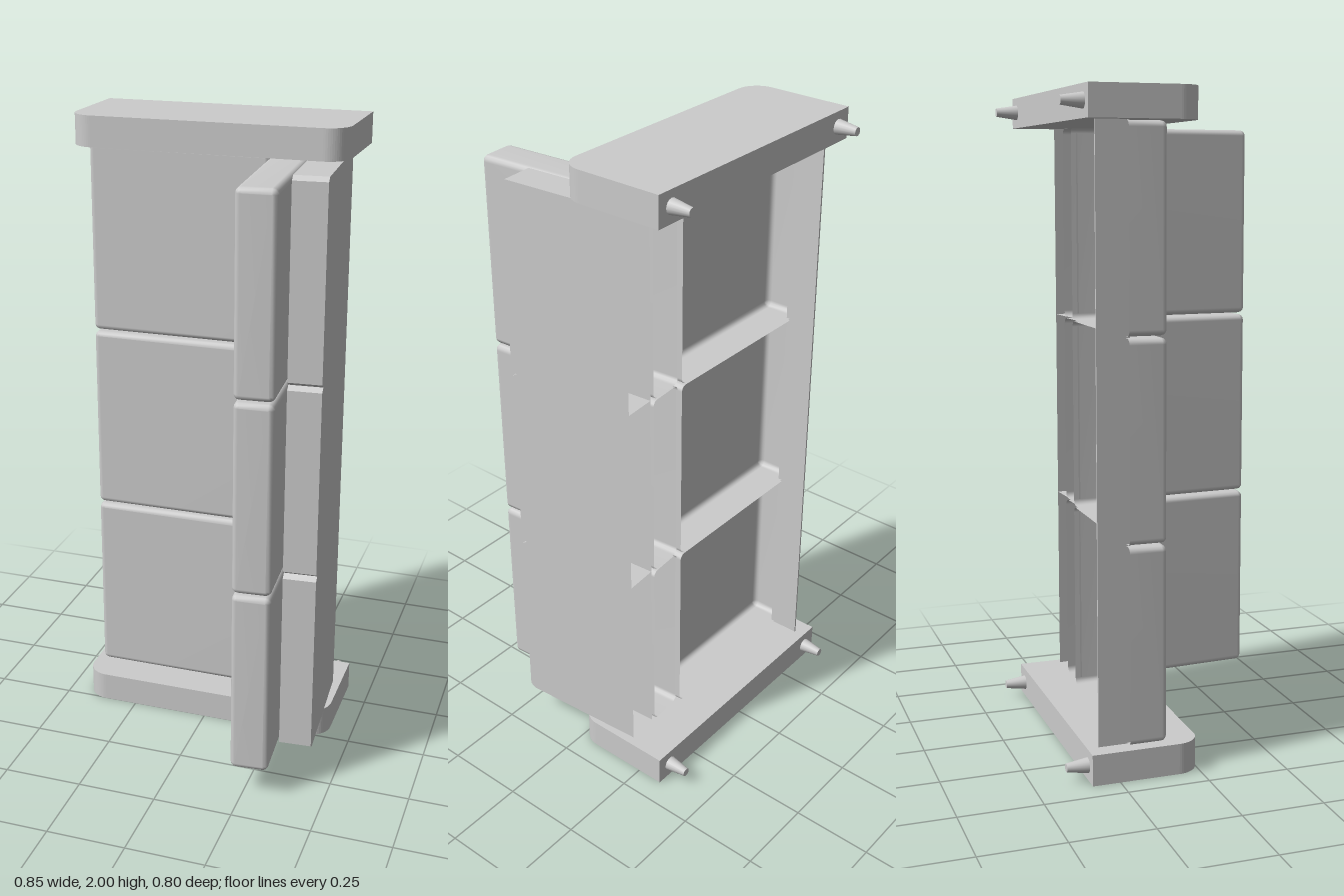
import * as THREE from 'three';

const TILT = 0.07;          // lean of the backrest
const PITCH = 0.604;        // spacing of the three seats along y

// Hollow shell, open at the bottom, built along +z from rounded-rectangle rings.
// Each ring is [height, inset x, inset y, corner radius].
function shellGeometry(width, length, rings, cornerSteps, flat) {
  const pos = [], index = [];
  const n = 4 * (cornerSteps + 1);
  for (const [h, ix, iy, r] of rings) {
    const a = width / 2 - ix - r, b = length / 2 - iy - r;
    for (let q = 0; q < 4; q++) {
      const sx = q === 0 || q === 3 ? 1 : -1, sy = q < 2 ? 1 : -1;
      for (let s = 0; s <= cornerSteps; s++) {
        const t = (q + (cornerSteps ? s / cornerSteps : 0.5)) * Math.PI / 2;
        pos.push(sx * a + r * Math.cos(t), sy * b + r * Math.sin(t), h);
      }
    }
  }
  for (let k = 0; k < rings.length - 1; k++) {
    for (let i = 0; i < n; i++) {
      const j = (i + 1) % n, lo = k * n, hi = lo + n;
      index.push(lo + i, lo + j, hi + j, lo + i, hi + j, hi + i);
    }
  }
  // closed top
  const top = (rings.length - 1) * n;
  for (let i = 1; i < n - 1; i++) index.push(top, top + i, top + i + 1);
  let g = new THREE.BufferGeometry();
  g.setAttribute('position', new THREE.Float32BufferAttribute(pos, 3));
  g.setIndex(index);
  if (flat) g = g.toNonIndexed();
  g.computeVertexNormals();
  return g;
}

// Soft cushion: straight walls with a rounded rim
function cushionGeometry(width, length, height) {
  const r = 0.016, rings = [[0, 0, 0, 0.018]];
  for (let s = 0; s <= 3; s++) {
    const t = s / 3 * Math.PI / 2, inset = r * (1 - Math.cos(t));
    rings.push([height - r + r * Math.sin(t), inset, inset, 0.018 - inset]);
  }
  return shellGeometry(width, length, rings, 3, false);
}

export function createModel() {
  const model = new THREE.Group();
  model.name = 'sofaOnItsSide';
  const grey = new THREE.MeshStandardMaterial({ color: 0xcccccc, side: THREE.DoubleSide });
  grey.name = 'light grey';

  const add = (name, geometry, x, y, z, tilt = 0) => {
    const mesh = new THREE.Mesh(geometry, grey);
    mesh.name = name;
    mesh.position.set(x, y, z);
    mesh.rotation.y = tilt;
    model.add(mesh);
    return mesh;
  };

  // Armrests: slabs with the two upper corners rounded
  const x0 = -0.428, x1 = 0.424, z0 = -0.335, z1 = 0.004, r = 0.07, armThick = 0.094;
  const arm = new THREE.Shape();
  arm.moveTo(x0, z0);
  arm.lineTo(x1, z0);
  arm.lineTo(x1, z1 - r);
  arm.absarc(x1 - r, z1 - r, r, 0, Math.PI / 2, false);
  arm.lineTo(x0 + r, z1);
  arm.absarc(x0 + r, z1 - r, r, Math.PI / 2, Math.PI, false);
  arm.closePath();
  const armGeometry = new THREE.ExtrudeGeometry(arm, { depth: armThick, bevelEnabled: false, curveSegments: 8 });
  armGeometry.rotateX(Math.PI / 2);      // shape height becomes z, depth runs down -y
  add('lowerArmrest', armGeometry, 0, armThick, 0);
  add('upperArmrest', armGeometry, 0, 2, 0);

  // Tapered legs, pointing back
  const legGeometry = new THREE.CylinderGeometry(0.023, 0.013, 0.067, 16);
  legGeometry.rotateX(Math.PI / 2);
  for (const y of [0.046, 1.954]) {
    for (const x of [-0.378, 0.372]) add('leg', legGeometry, x, y, -0.3675);
  }

  // Thin panel under the seat front
  add('frontPanel', new THREE.BoxGeometry(0.006, 1.812, 0.1), -0.37, 1, -0.25);

  // Three seats, each with a seat cushion, a back cushion and a back frame
  const seat = cushionGeometry(0.577, 0.598, 0.115);
  const back = cushionGeometry(0.12, 0.598, 0.595);
  const frame = shellGeometry(0.102, PITCH,
    [[0, 0, 0, 0], [0.409, 0, 0, 0], [0.427, 0, 0.012, 0]], 0, true);
  for (let i = -1; i <= 1; i++) {
    const y = 1 + i * PITCH;
    add('seatCushion', seat, -0.117, y, -0.212);
    add('backCushion', back, 0.231, y, -0.2, TILT);
    add('backFrame', frame, 0.346, y, -0.2, TILT);
  }
  return model;
}
